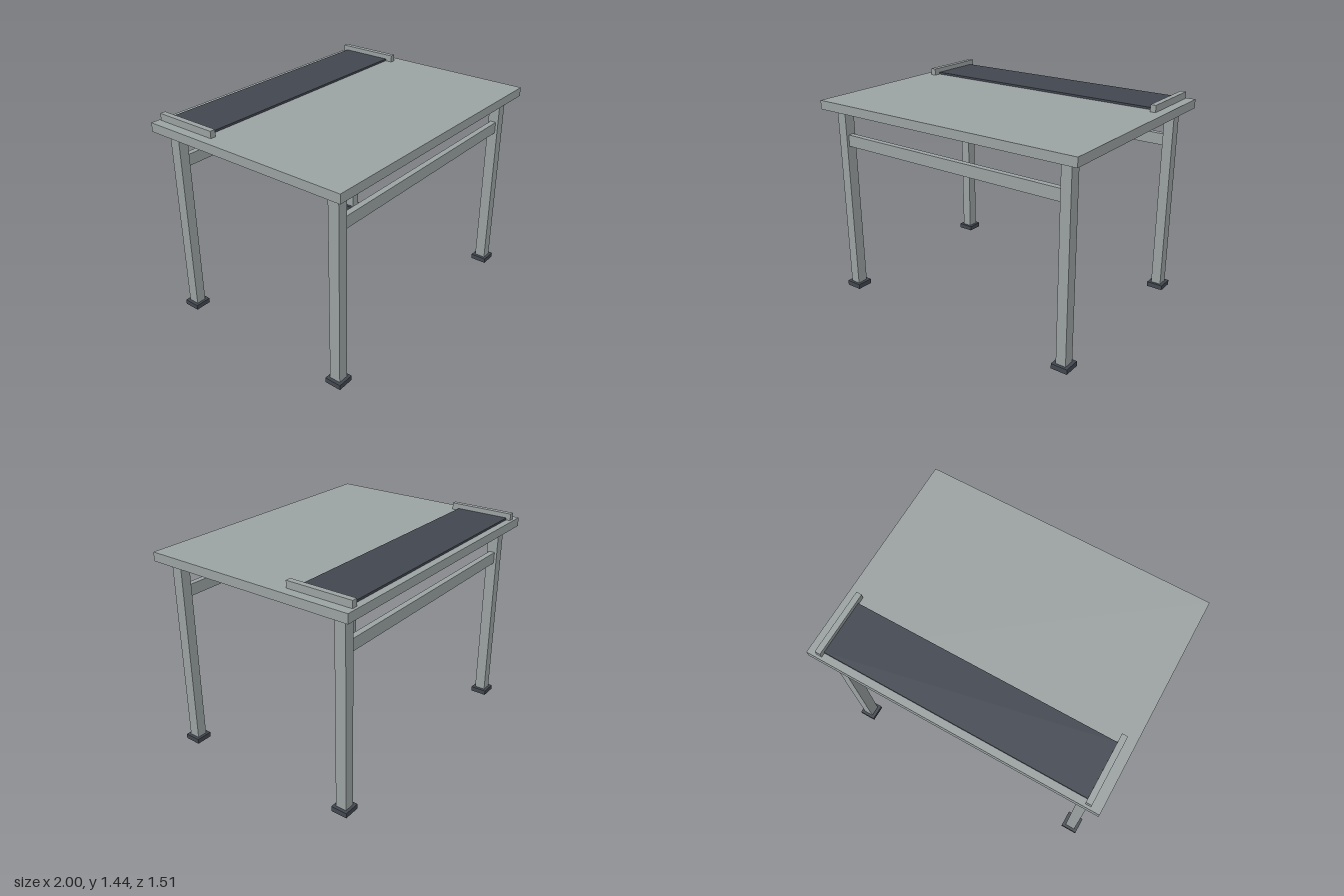
import * as THREE from 'three';

export function createModel() {
  const model = new THREE.Group();
  model.name = 'workTable';

  const grey = new THREE.MeshStandardMaterial({ color: 0x9ea5a5 });
  grey.name = 'painted grey';
  const dark = new THREE.MeshStandardMaterial({ color: 0x434851 });
  dark.name = 'dark slate';

  // Box given by its lower and upper corners
  const box = (name, material, [x0, y0, z0], [x1, y1, z1]) => {
    const mesh = new THREE.Mesh(new THREE.BoxGeometry(x1 - x0, y1 - y0, z1 - z0), material);
    mesh.position.set((x0 + x1) / 2, (y0 + y1) / 2, (z0 + z1) / 2);
    mesh.name = name;
    model.add(mesh);
  };

  // Square foot sleeve, open in the middle
  const rectangle = (Type, w, d) => new Type([
    new THREE.Vector2(-w / 2, -d / 2), new THREE.Vector2(w / 2, -d / 2),
    new THREE.Vector2(w / 2, d / 2), new THREE.Vector2(-w / 2, d / 2),
  ]);
  const footShape = rectangle(THREE.Shape, 0.114, 0.114);
  footShape.holes.push(rectangle(THREE.Path, 0.07, 0.076));
  const footGeometry = new THREE.ExtrudeGeometry(footShape, { depth: 0.034, bevelEnabled: false });
  footGeometry.rotateX(-Math.PI / 2);

  // Table top and the dark mat along its back
  box('tableTop', grey, [-1, 1.33, -0.753], [1, 1.391, 0.753]);
  box('mat', dark, [-0.9, 1.391, -0.705], [0.9, 1.405, -0.33]);

  const legX = 0.888, legZ = 0.642;
  for (const sx of [-1, 1]) {
    // Guide bars at both ends of the mat
    const gx = sx * 0.918;
    box('guideBar', grey, [gx - 0.019, 1.391, -0.735], [gx + 0.019, 1.438, -0.28]);

    // Legs and feet
    for (const sz of [-1, 1]) {
      const x = sx * legX, z = sz * legZ;
      box('leg', grey, [x - 0.035, 0.015, z - 0.038], [x + 0.035, 1.33, z + 0.038]);
      const foot = new THREE.Mesh(footGeometry, dark);
      foot.position.set(x, 0, z);
      foot.name = 'foot';
      model.add(foot);
    }
  }

  // Long rails joining the legs at front and back
  for (const sz of [-1, 1]) {
    const z = sz * legZ;
    box('rail', grey, [-0.853, 1.074, z - 0.02], [0.853, 1.154, z + 0.02]);
  }

  return model;
}
